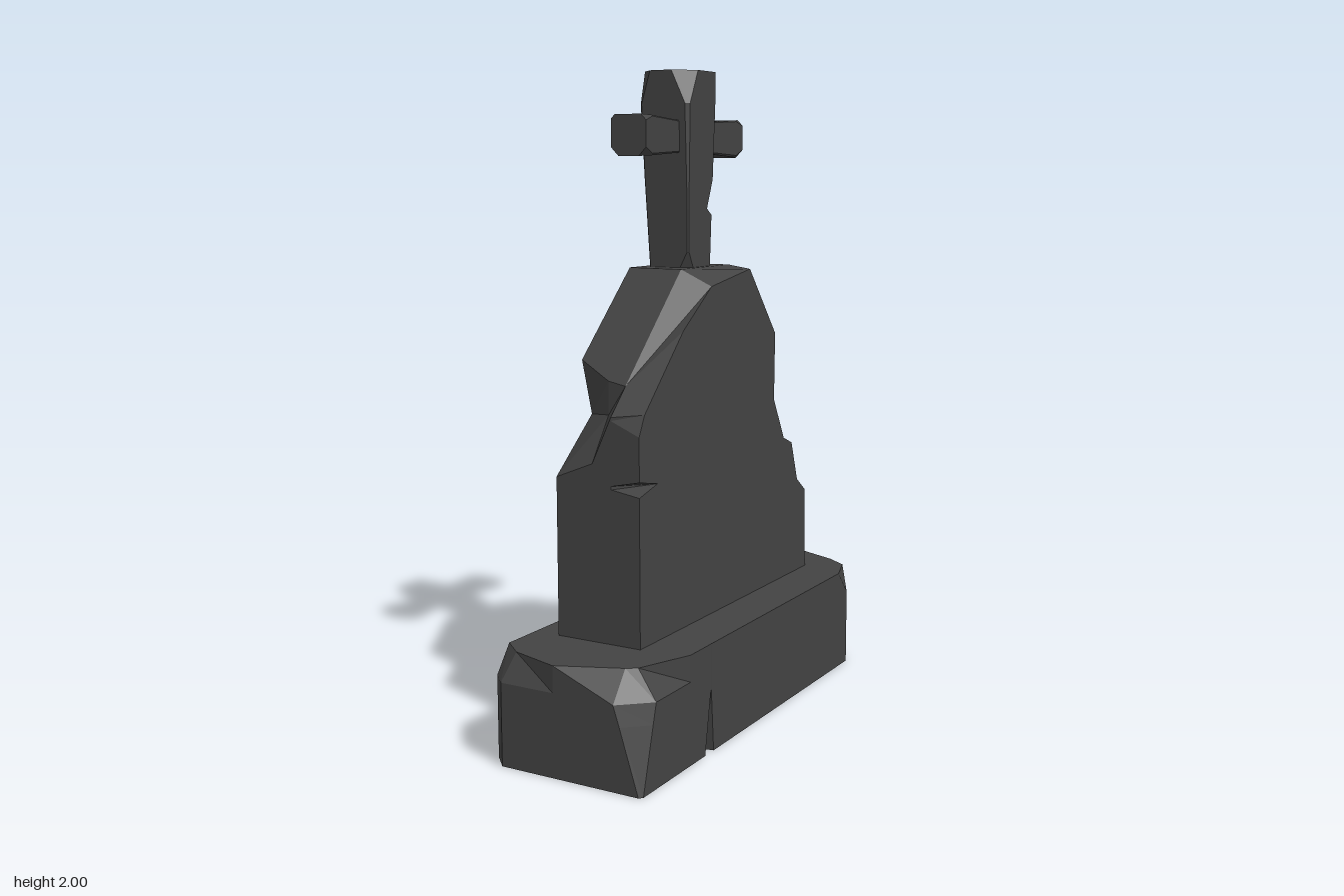
import * as THREE from 'three';

const stone = new THREE.MeshStandardMaterial({ color: 0x424242, flatShading: true });
stone.name = 'dark stone';

// Skin a row of matching rings ([x, y, z] points) and close both ends.
// axes: the two coordinates used to triangulate the end caps.
function loft(name, rings, axes) {
  const pos = [];
  const tri = (a, b, c) => pos.push(...a, ...b, ...c);
  const n = rings[0].length;
  for (let r = 0; r < rings.length - 1; r++) {
    for (let i = 0; i < n; i++) {
      const j = (i + 1) % n, A = rings[r], B = rings[r + 1];
      tri(A[i], A[j], B[j]);
      tri(A[i], B[j], B[i]);
    }
  }
  const to2D = (p) => new THREE.Vector2(p[axes[0]], p[axes[1]]);
  [rings[0], rings[rings.length - 1]].forEach((ring, end) => {
    const flat = ring.map(to2D);
    const ccw = THREE.ShapeUtils.area(flat) > 0;
    for (const f of THREE.ShapeUtils.triangulateShape(flat, [])) {
      const [a, b, c] = f.map((k) => ring[k]);
      const faceCcw = THREE.ShapeUtils.area(f.map((k) => flat[k])) > 0;
      // the first cap runs against the ring direction, the last cap along it
      if ((faceCcw === ccw) === (end === 1)) tri(a, b, c);
      else tri(a, c, b);
    }
  });
  // Turn the whole skin outward if the signed volume is negative
  let volume = 0;
  const v = (k) => new THREE.Vector3().fromArray(pos, k);
  for (let k = 0; k < pos.length; k += 9) volume += v(k).dot(v(k + 3).cross(v(k + 6)));
  if (volume < 0) {
    for (let k = 0; k < pos.length; k += 9) {
      for (let c = 0; c < 3; c++) [pos[k + 3 + c], pos[k + 6 + c]] = [pos[k + 6 + c], pos[k + 3 + c]];
    }
  }
  const geo = new THREE.BufferGeometry();
  geo.setAttribute('position', new THREE.Float32BufferAttribute(pos, 3));
  geo.computeVertexNormals();
  const mesh = new THREE.Mesh(geo, stone);
  mesh.name = name;
  return mesh;
}

// Rectangle with four cut corners, in order (+,+) (-,+) (-,-) (+,-)
function cutRect(u0, u1, v0, v1, cuts) {
  const [a, b, c, d] = cuts;
  return [
    [u1, v1 - a], [u1 - a, v1], [u0 + b, v1], [u0, v1 - b],
    [u0, v0 + c], [u0 + c, v0], [u1 - d, v0], [u1, v0 + d],
  ];
}

// Plinth: outlines (x, z) stacked in y, with a crack and broken corners
function makePlinth() {
  const outline = (crackDepth, crackWidth, front, leftFront, back) => [
    [0.26, 0.395 - crackWidth * 0.2], [0.26 - crackDepth, 0.397], [0.26, 0.4 + crackWidth * 0.7],
    [0.26, 0.52], ...front, [-0.03, 0.79], ...leftFront, ...back,
  ];
  const backLow = [[-0.26, -0.79], [-0.03, -0.79], [0.06, -0.71], [0.15, -0.67], [0.25, -0.59], [0.26, -0.57]];
  const backTop = [[-0.25, -0.79], [-0.1, -0.785], [0.06, -0.71], [0.15, -0.67], [0.22, -0.62], [0.26, -0.5]];
  const corner = [[-0.21, 0.79], [-0.26, 0.74]];
  const levels = [
    [0, outline(0.07, 0.05, [[0.26, 0.78], [0.25, 0.79]], corner, backLow)],
    [0.19, outline(0.001, 0.002, [[0.26, 0.727], [0.19, 0.79]], corner, backLow)],
    [0.25, outline(0.001, 0.002, [[0.26, 0.71], [0.17, 0.79]], corner, backLow)],
    [0.33, outline(0.001, 0.002, [[0.19, 0.69], [0.16, 0.71]], [[-0.19, 0.74], [-0.26, 0.68]], backTop)],
  ];
  return loft('plinth', levels.map(([y, pts]) => pts.map(([x, z]) => [x, y, z])), [0, 2]);
}

// Broken slab: side profiles (z, y) at several x stations
function makeSlab() {
  const stations = [
    [-0.175, [[0.55, 0.32], [0.55, 0.76], [0.55, 0.78], [0.55, 0.795], [0.55, 0.81], [0.36, 0.97], [0.41, 1.14],
      [0.14, 1.4], [-0.08, 1.4], [-0.26, 1.27], [-0.285, 0.97], [-0.37, 0.81], [-0.45, 0.78],
      [-0.485, 0.64], [-0.545, 0.61], [-0.545, 0.32]]],
    [-0.05, [[0.55, 0.32], [0.55, 0.78], [0.55, 0.8], [0.55, 0.82], [0.55, 0.86], [0.46, 0.99], [0.46, 1.09],
      [0.15, 1.4], [-0.15, 1.4], [-0.325, 1.225], [-0.29, 0.95], [-0.37, 0.81], [-0.45, 0.78],
      [-0.485, 0.64], [-0.545, 0.61], [-0.545, 0.32]]],
    [0.015, [[0.55, 0.32], [0.55, 0.79], [0.55, 0.8], [0.55, 0.81], [0.55, 0.99], [0.55, 1.0], [0.47, 1.08],
      [0.15, 1.4], [-0.15, 1.4], [-0.325, 1.225], [-0.29, 0.95], [-0.37, 0.81], [-0.45, 0.78],
      [-0.485, 0.64], [-0.545, 0.61], [-0.545, 0.32]]],
    [0.11, [[0.55, 0.32], [0.55, 0.775], [0.45, 0.8], [0.55, 0.82], [0.55, 0.95], [0.52, 1.01], [0.3, 1.23],
      [0.13, 1.35], [-0.12, 1.39], [-0.3, 1.17], [-0.295, 0.95], [-0.37, 0.81], [-0.43, 0.785],
      [-0.475, 0.65], [-0.535, 0.605], [-0.545, 0.32]]],
  ];
  return loft('slab', stations.map(([x, pts]) => pts.map(([z, y]) => [x, y, z])), [2, 1]);
}

// Cross upright: widens upward, with a chipped back edge
function makeUpright() {
  const levels = [ // y, corner cuts
    [1.39, [0.035, 0.004, 0.004, 0.004]],
    [1.45, [0.004, 0.004, 0.004, 0.004]],
    [1.56, [0.004, 0.004, 0.004, 0.005]],
    [1.58, [0.004, 0.004, 0.004, 0.035]],
    [1.67, [0.006, 0.004, 0.004, 0.005]],
    [1.9, [0.012, 0.008, 0.004, 0.005]],
    [2.0, [0.06, 0.045, 0.012, 0.01]],
  ];
  return loft('crossUpright', levels.map(([y, cuts]) => {
    const t = (y - 1.4) / 0.6;
    return cutRect(-0.14 - 0.025 * t, 0.015 * t, -0.06 - 0.015 * t, 0.08 + 0.025 * t, cuts)
      .map(([x, z]) => [x, y, z]);
  }), [0, 2]);
}

// Cross arm: flares outward and ends in a chipped tip
function makeArm(name, zInner, zOuter) {
  const sections = [[0, 0.046, 0.004], [0.85, 0.059, 0.006], [1, 0.061, 0.026]];
  return loft(name, sections.map(([t, h, c]) =>
    cutRect(-0.07 - h, -0.07 + h, 1.8 - h, 1.8 + h, [c * 0.7, c * 0.5, c, c])
      .map(([x, y]) => [x, y, THREE.MathUtils.lerp(zInner, zOuter, t)])), [0, 1]);
}

export function createModel() {
  const model = new THREE.Group();
  model.name = 'brokenGravestone';
  const cross = new THREE.Group();
  cross.name = 'cross';
  cross.add(makeUpright(), makeArm('frontArm', 0.05, 0.31), makeArm('backArm', -0.03, -0.29));
  model.add(makePlinth(), makeSlab(), cross);
  return model;
}
